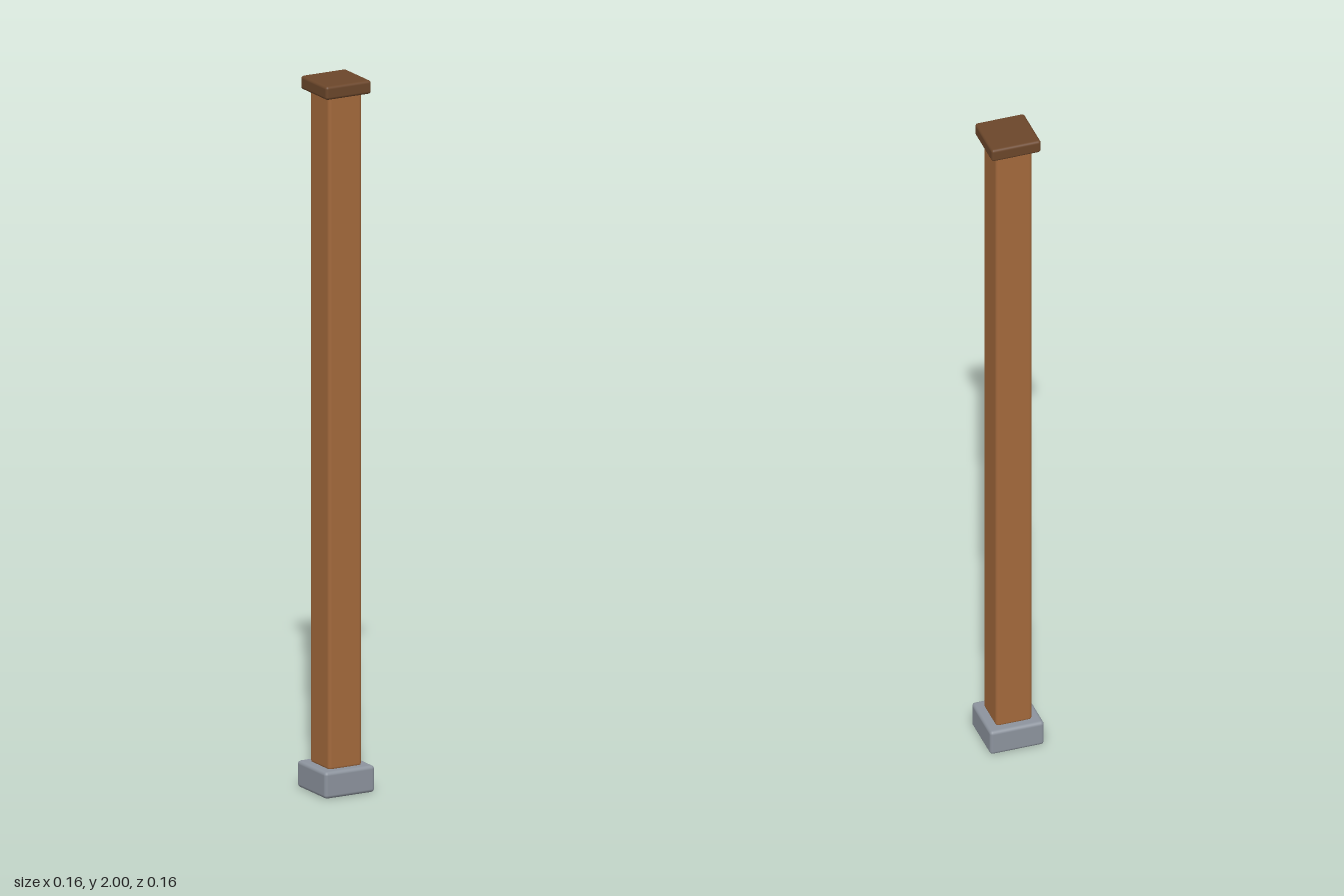
import * as THREE from 'three';
import { RoundedBoxGeometry } from 'three/addons/geometries/RoundedBoxGeometry.js';

function material(name, color) {
  const m = new THREE.MeshStandardMaterial({ color });
  m.name = name;
  return m;
}

// Square block with softened edges, spanning bottom to top
function block(name, width, bottom, top, radius, mat) {
  const mesh = new THREE.Mesh(new RoundedBoxGeometry(width, top - bottom, width, 3, radius), mat);
  mesh.name = name;
  mesh.position.y = (bottom + top) / 2;
  return mesh;
}

export function createModel() {
  const group = new THREE.Group();
  group.name = 'post';
  const stone = material('grey stone', 0x8c939d);
  const wood = material('brown wood', 0xa3693c);
  const darkWood = material('dark wood', 0x6b462a);

  group.add(
    block('base', 0.156, 0, 0.075, 0.01, stone),
    block('shaft', 0.104, 0.07, 1.97, 0.01, wood),
    block('cap', 0.142, 1.962, 2, 0.008, darkWood),
  );
  return group;
}
